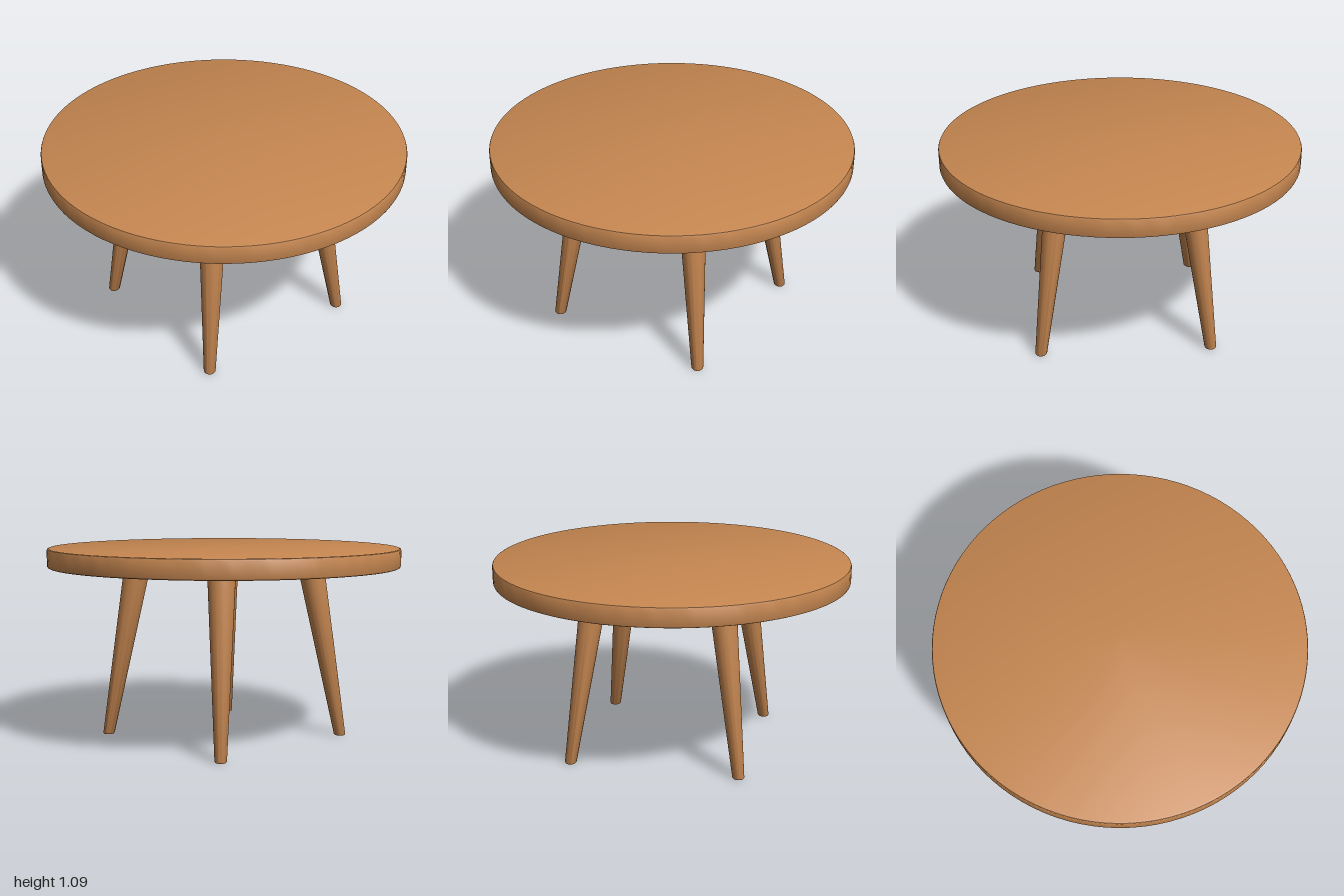
import * as THREE from 'three';
import { toCreasedNormals } from 'three/addons/utils/BufferGeometryUtils.js';

const wood = new THREE.MeshStandardMaterial({ color: 0xc58650 });
wood.name = 'warm wood';

// Revolve a [radius, height] profile, listed from bottom to top
function turned(profile, segments) {
  return new THREE.LatheGeometry(profile.map(([r, y]) => new THREE.Vector2(r, y)), segments);
}

export function createModel() {
  const table = new THREE.Group();
  table.name = 'roundTable';

  // Round top with softened rims
  const topGeometry = turned([
    [0, 0.983], [0.99, 0.983], [0.997, 0.986], [1, 0.993],
    [1, 1.08], [0.997, 1.087], [0.99, 1.09], [0, 1.09],
  ], 96);
  const top = new THREE.Mesh(toCreasedNormals(topGeometry, 0.6), wood);
  top.name = 'tableTop';
  table.add(top);

  // Tapered leg, sheared outward so its foot stays level
  const legGeometry = turned([
    [0, 0], [0.029, 0], [0.033, 0.006], [0.073, 0.91], [0.079, 0.985], [0, 0.985],
  ], 32);
  const position = legGeometry.attributes.position;
  for (let i = 0; i < position.count; i++) {
    position.setX(i, position.getX(i) + 0.674 - 0.182 * position.getY(i));
  }
  const creasedLeg = toCreasedNormals(legGeometry, 0.6);

  // Four legs, on the left, back, right and front
  ['leftLeg', 'backLeg', 'rightLeg', 'frontLeg'].forEach((name, i) => {
    const leg = new THREE.Mesh(creasedLeg, wood);
    leg.name = name;
    leg.rotation.y = i * Math.PI / 2;
    table.add(leg);
  });

  return table;
}
